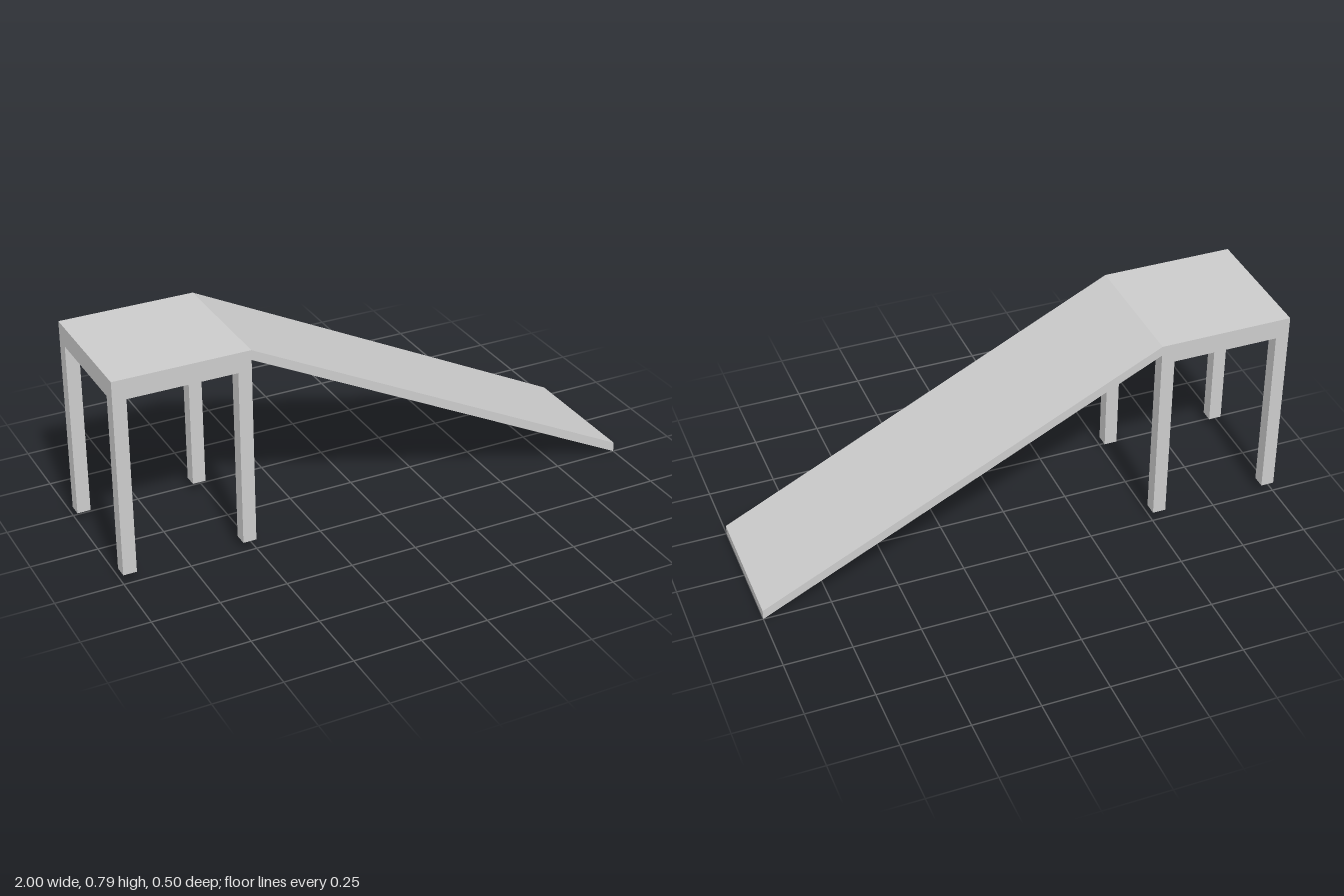
import * as THREE from 'three';

const TOP = 0.785, THICK = 0.037, LEG = 0.05, HALF = 0.25;
const RAIL_BOTTOM = 0.71, FOOT = 0.037;
const LEFT = -1, EDGE = -0.5, END = 1;

export function createModel() {
  const model = new THREE.Group();
  model.name = 'rampPlatform';
  const material = new THREE.MeshStandardMaterial({ color: 0xcccccc, flatShading: true });

  // Box given by its lower and upper corners
  const box = (name, [x0, y0, z0], [x1, y1, z1]) => {
    const mesh = new THREE.Mesh(new THREE.BoxGeometry(x1 - x0, y1 - y0, z1 - z0), material);
    mesh.position.set((x0 + x1) / 2, (y0 + y1) / 2, (z0 + z1) / 2);
    mesh.name = name;
    model.add(mesh);
  };

  // Flat platform board
  const under = TOP - THICK;
  box('deck', [LEFT, under, -HALF], [EDGE, TOP, HALF]);

  // Four corner legs, up to the underside of the board
  for (const x of [LEFT, EDGE - LEG])
    for (const z of [-HALF, HALF - LEG])
      box('leg', [x, FOOT, z], [x + LEG, under, z + LEG]);

  // Rails joining the legs under the board
  for (const z of [-HALF, HALF - LEG])
    box('sideRail', [LEFT + LEG, RAIL_BOTTOM, z], [EDGE - LEG, under, z + LEG]);
  for (const x of [LEFT, EDGE - LEG])
    box('crossRail', [x, RAIL_BOTTOM, -HALF + LEG], [x + LEG, under, HALF - LEG]);

  // Sloping ramp with upright cut ends
  const profile = new THREE.Shape([
    new THREE.Vector2(EDGE, under),
    new THREE.Vector2(END, 0),
    new THREE.Vector2(END, THICK),
    new THREE.Vector2(EDGE, TOP),
  ]);
  const rampGeometry = new THREE.ExtrudeGeometry(profile, { depth: 2 * HALF, bevelEnabled: false });
  rampGeometry.translate(0, 0, -HALF);
  const ramp = new THREE.Mesh(rampGeometry, material);
  ramp.name = 'ramp';
  model.add(ramp);

  return model;
}
